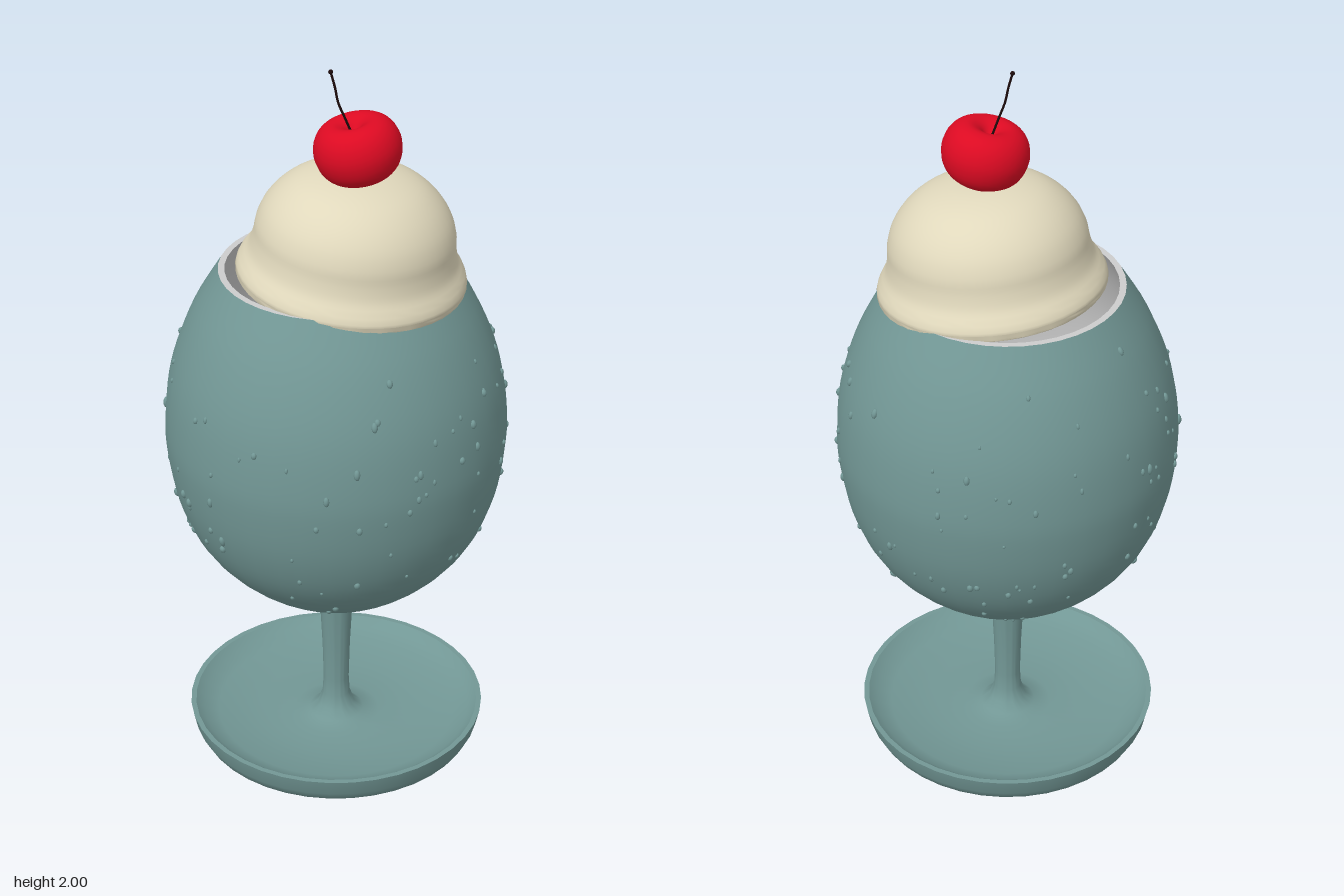
import * as THREE from 'three';
import { toCreasedNormals } from 'three/addons/utils/BufferGeometryUtils.js';

const mat = (color, side = THREE.FrontSide) =>
  new THREE.MeshStandardMaterial({ color, side });
const glassMat = mat(0x729795);
const innerMat = mat(0xcccccc, THREE.DoubleSide);
const creamMat = mat(0xe0d8bc);
const cherryMat = mat(0xdc0a22);
const stalkMat = mat(0x1c0a0a);

const vecs = (pts) => pts.map(([x, y]) => new THREE.Vector2(x, y));
const smooth = (pts, n) => new THREE.SplineCurve(vecs(pts)).getPoints(n)
  .map((p) => p.setX(Math.max(p.x, 0)));

function add(group, name, geometry, material) {
  const mesh = new THREE.Mesh(geometry, material);
  mesh.name = name;
  group.add(mesh);
  return mesh;
}

// Small seeded generator for scattering the droplets
function seeded(seed) {
  return () => {
    seed = (seed * 16807) % 2147483647;
    return seed / 2147483647;
  };
}

export function createModel() {
  const model = new THREE.Group();
  model.name = 'sundae';

  // Foot dish with flared stem
  const foot = vecs([
    [0, 0], [0.24, 0.002], [0.31, 0.008], [0.355, 0.018], [0.383, 0.034], [0.397, 0.06],
    [0.407, 0.105], [0.393, 0.105], [0.37, 0.085], [0.33, 0.07], [0.22, 0.058],
    [0.12, 0.055], [0.075, 0.064], [0.05, 0.085], [0.038, 0.12], [0.035, 0.17],
    [0.038, 0.28], [0.044, 0.4], [0.047, 0.435], [0, 0.435],
  ]);
  add(model, 'footAndStem', toCreasedNormals(new THREE.LatheGeometry(foot, 40), 0.7), glassMat);

  // Egg-shaped bowl: outside wall
  const outer = smooth([
    [0.048, 0.447], [0.068, 0.462], [0.14, 0.487], [0.23, 0.532], [0.32, 0.61], [0.385, 0.7],
    [0.427, 0.81], [0.447, 0.93], [0.449, 1.02], [0.437, 1.13], [0.41, 1.23],
    [0.365, 1.335], [0.302, 1.44],
  ], 40);
  add(model, 'bowl', new THREE.LatheGeometry([new THREE.Vector2(0, 0.447), ...outer], 40), glassMat);

  // Bowl: rim and inside wall
  const inner = outer.filter((p) => p.y > 0.49).reverse()
    .map((p) => new THREE.Vector2(p.x - 0.017, p.y));
  const lining = [new THREE.Vector2(0.302, 1.44), ...inner, new THREE.Vector2(0, 0.48)];
  add(model, 'bowlLining', toCreasedNormals(new THREE.LatheGeometry(lining, 40), 0.7), innerMat);

  // Condensation droplets on the bowl
  const rand = seeded(4711);
  const dropGeo = new THREE.SphereGeometry(1, 8, 6);
  const droplets = new THREE.Group();
  droplets.name = 'droplets';
  for (let i = 0; i < 150; i++) {
    const y = 0.48 + 0.92 * (rand() + rand() * 0.4) / 1.4;
    const k = Math.max(1, outer.findIndex((p) => p.y >= y));
    const a = outer[k - 1], b = outer[k];
    const r = THREE.MathUtils.mapLinear(y, a.y, b.y, a.x, b.x);
    const angle = rand() * Math.PI * 2;
    const size = 0.004 + 0.005 * rand();
    const drop = add(droplets, 'droplet', dropGeo, glassMat);
    drop.position.set(r * Math.sin(angle), y, r * Math.cos(angle));
    drop.rotation.set(-Math.atan2(b.x - a.x, a.y - b.y) + Math.PI, angle, 0, 'YXZ');
    drop.rotation.x = Math.atan2(b.x - a.x, b.y - a.y);
    drop.scale.set(size, size * (1.1 + 0.7 * rand()), size * 0.9);
  }
  model.add(droplets);

  // Leaning scoop with a rolled skirt
  const skirt = smooth([
    [0.27, -0.012], [0.29, -0.01], [0.296, 0.005], [0.288, 0.03], [0.268, 0.062], [0.258, 0.1],
    [0.253, 0.14], [0.235, 0.185], [0.2, 0.228], [0.15, 0.262], [0.08, 0.282], [0, 0.287],
  ], 40);
  const scoopGeo = new THREE.LatheGeometry([new THREE.Vector2(0, -0.012), ...skirt], 48);
  const scoop = add(model, 'scoop', toCreasedNormals(scoopGeo, 0.9), creamMat);
  scoop.position.set(0.036, 1.431, 0.022);
  scoop.rotation.set(0.06, 0, -0.085);

  // Cherry with a dimple, tipped to one side
  const cherry = new THREE.Group();
  cherry.name = 'cherry';
  const body = smooth([
    [0, -0.068], [0.04, -0.072], [0.075, -0.06], [0.1, -0.033], [0.111, 0.008], [0.104, 0.046],
    [0.084, 0.073], [0.055, 0.084], [0.028, 0.075], [0.01, 0.058], [0, 0.053],
  ], 32);
  add(cherry, 'cherryBody', new THREE.LatheGeometry(body, 32), cherryMat);
  cherry.position.set(0.05, 1.777, 0.055);
  cherry.rotation.z = 0.19;
  model.add(cherry);

  // Thin bent stalk with knobbed ends
  const path = new THREE.CatmullRomCurve3([
    [0.032, 1.83, 0.057], [0.014, 1.875, 0.063], [-0.002, 1.915, 0.067],
    [-0.01, 1.955, 0.065], [-0.02, 1.994, 0.063],
  ].map((p) => new THREE.Vector3(...p)));
  add(model, 'stalk', new THREE.TubeGeometry(path, 20, 0.003, 8), stalkMat);
  for (const t of [0, 1]) {
    const knob = add(model, 'stalkEnd', new THREE.SphereGeometry(0.006, 10, 8), stalkMat);
    knob.position.copy(path.getPoint(t));
  }

  return model;
}
